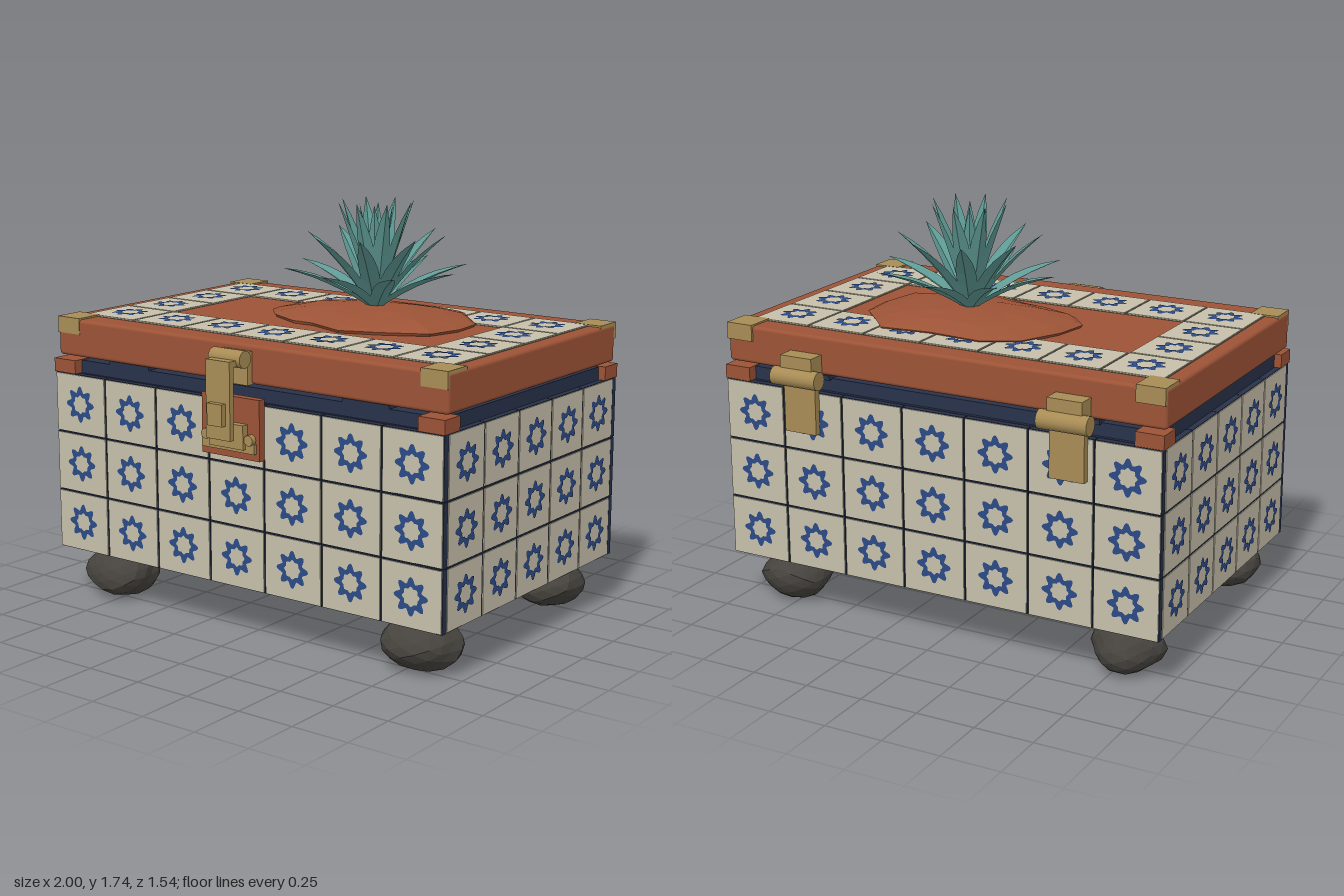
import * as THREE from 'three';
import { RoundedBoxGeometry } from 'three/addons/geometries/RoundedBoxGeometry.js';

const mat = (name, color, opts = {}) => {
  const m = new THREE.MeshStandardMaterial({ color, ...opts });
  m.name = name;
  return m;
};

export function createModel() {
  const root = new THREE.Group();
  root.name = 'tiledChest';
  const cream = mat('creamGlaze', 0xc6bfaa);
  const navy = mat('navyGrout', 0x28324a);
  const blue = mat('bluePaint', 0x2b4a86);
  const clay = mat('terracotta', 0x9c5336);
  const soil = mat('terracottaMound', 0x9c5336, { flatShading: true });
  const brass = mat('brass', 0xa88c55);
  const stone = mat('darkStone', 0x46433e, { flatShading: true });
  const leafMat = mat('agaveGreen', 0x5f9a94, { flatShading: true, side: THREE.DoubleSide });
  const grout = mat('greyGrout', 0x73705f);

  const add = (parent, name, geo, m, x = 0, y = 0, z = 0) => {
    const mesh = new THREE.Mesh(geo, m);
    mesh.name = name;
    mesh.position.set(x, y, z);
    parent.add(mesh);
    return mesh;
  };
  // Box given by its extents on each axis
  const block = (parent, name, m, x0, x1, y0, y1, z0, z1) =>
    add(parent, name, new THREE.BoxGeometry(x1 - x0, y1 - y0, z1 - z0), m,
      (x0 + x1) / 2, (y0 + y1) / 2, (z0 + z1) / 2);
  const rod = (parent, name, r, len, x, y, z) => {
    const c = add(parent, name, new THREE.CylinderGeometry(r, r, len, 16), brass, x, y, z);
    c.rotation.z = Math.PI / 2;
    return c;
  };

  // Eight-petalled ring painted on every tile
  const ring = (r, amp, n) => Array.from({ length: n }, (_, i) => {
    const a = (i / n) * Math.PI * 2, d = r + amp * Math.cos(8 * a);
    return new THREE.Vector2(d * Math.cos(a), d * Math.sin(a));
  });
  const flower = new THREE.Shape(ring(0.066, 0.013, 64));
  flower.holes.push(new THREE.Path(ring(0.037, 0.004, 32)));
  const flowerGeo = new THREE.ShapeGeometry(flower);

  // Tile facing local +z, its glazed face at z = 0
  const tile = (parent, w, h, depth, side) => {
    const g = new THREE.Group();
    g.name = 'tile';
    add(g, 'tileSlab', new THREE.BoxGeometry(w - 0.004, h - 0.004, depth), side, 0, 0, -depth / 2 - 0.004);
    add(g, 'tileFace', new THREE.BoxGeometry(w - 0.01, h - 0.01, 0.004), cream, 0, 0, -0.002);
    add(g, 'tileFlower', flowerGeo, blue, 0, 0, 0.003);
    parent.add(g);
    return g;
  };

  // Chest body
  const body = new THREE.Group();
  body.name = 'body';
  root.add(body);
  const zF = 0.61, zB = -0.655, zMid = (zF + zB) / 2;
  block(body, 'bodyCore', navy, -0.965, 0.965, 0.221, 1, zB, zF);
  const th = 0.26, tw = 1.99 / 7, sw = (zF - zB) / 5;
  for (let r = 0; r < 3; r++) {
    const y = 0.22 + th * (r + 0.5);
    for (let c = 0; c < 7; c++) {
      const x = -0.995 + tw * (c + 0.5);
      tile(body, tw, th, 0.026, navy).position.set(x, y, 0.64);
      const back = tile(body, tw, th, 0.026, navy);
      back.position.set(x, y, -0.685);
      back.rotation.y = Math.PI;
    }
    for (let c = 0; c < 5; c++) for (const s of [-1, 1]) {
      const t = tile(body, sw, th, 0.026, navy);
      t.position.set(s * 0.995, y, zB + sw * (c + 0.5));
      t.rotation.y = s * Math.PI / 2;
    }
  }
  block(body, 'basePlate', clay, -0.91, 0.91, 0.19, 0.222, -0.585, 0.54);

  // Rim under the lid with corner blocks
  block(body, 'rim', navy, -0.965, 0.965, 1, 1.055, -0.64, 0.6);
  block(body, 'rimCore', navy, -0.9, 0.9, 1.05, 1.08, -0.57, 0.53);
  for (const s of [-1, 1]) for (const z of [0.59, -0.632])
    add(body, 'rimCorner', new THREE.BoxGeometry(0.12, 0.058, 0.104), clay, s * 0.937, 1.029, z);

  // Boulder feet
  let seed = 7;
  const rand = () => ((seed = (seed * 16807) % 2147483647) / 2147483647);
  for (const x of [-0.79, 0.79]) for (const z of [0.47, -0.51]) {
    const geo = new THREE.IcosahedronGeometry(1, 2);
    const p = geo.attributes.position, a = rand() * 6, b = rand() * 6;
    for (let i = 0; i < p.count; i++) {
      const v = new THREE.Vector3().fromBufferAttribute(p, i);
      const k = 1 + 0.05 * Math.sin(4 * v.x + a) + 0.05 * Math.sin(5 * v.z + 3 * v.y + b);
      p.setXYZ(i, v.x * k * 0.16, Math.max(-0.105, Math.min(0.1, v.y * k * 0.105)), v.z * k * 0.15);
    }
    geo.computeVertexNormals();
    add(body, 'foot', geo, stone, x, 0.105, z);
  }

  // Lid with a border of tiles and brass corners
  const lid = new THREE.Group();
  lid.name = 'lid';
  root.add(lid);
  add(lid, 'lidSlab', new RoundedBoxGeometry(1.988, 0.16, 1.275, 3, 0.015), clay, 0, 1.15, -0.022);
  const lw = 1.87 / 7, lh = 1.06 / 4;
  for (let c = 0; c < 7; c++) for (let r = 0; r < 4; r++) {
    if (c > 0 && c < 6 && r > 0 && r < 3) continue;
    const t = tile(lid, lw, lh, 0.012, grout);
    t.position.set(-0.935 + lw * (c + 0.5), 1.236, -0.555 + lh * (r + 0.5));
    t.rotation.x = -Math.PI / 2;
  }
  for (const s of [-1, 1]) for (const z of [0.553, -0.604])
    add(lid, 'cornerCap', new THREE.BoxGeometry(0.122, 0.07, 0.13), brass, s * 0.931, 1.202, z);

  // Front latch
  const latch = new THREE.Group();
  latch.name = 'latch';
  root.add(latch);
  block(latch, 'latchBacking', clay, -0.15, 0.145, 0.775, 1.025, 0.635, 0.67);
  block(latch, 'latchFoot', brass, -0.14, 0.13, 0.805, 0.845, 0.66, 0.685);
  block(latch, 'latchCatch', brass, -0.09, 0.085, 0.82, 0.92, 0.66, 0.7);
  for (const x of [-0.115, 0.105]) {
    const b = rod(latch, 'latchBolt', 0.022, 0.035, x, 0.86, 0.675);
    b.rotation.set(Math.PI / 2, 0, 0);
  }
  block(latch, 'latchStrap', brass, -0.065, 0.057, 0.86, 1.18, 0.72, 0.745);
  block(latch, 'latchTongue', brass, -0.04, 0.035, 0.92, 1.01, 0.74, 0.77);
  rod(latch, 'latchBarrel', 0.036, 0.16, -0.004, 1.18, 0.67);
  block(latch, 'latchBridge', brass, -0.065, 0.057, 1.155, 1.18, 0.67, 0.745);
  block(latch, 'latchMount', brass, -0.075, 0.067, 1.07, 1.205, 0.61, 0.645);

  // Rear hinges
  for (const x of [-0.608, 0.608]) {
    const h = new THREE.Group();
    h.name = 'hinge';
    root.add(h);
    rod(h, 'hingeBarrel', 0.039, 0.215, x, 1.065, -0.731);
    block(h, 'upperHingeLeaf', brass, x - 0.075, x + 0.075, 1.08, 1.155, -0.737, -0.655);
    block(h, 'lowerHingeLeaf', brass, x - 0.075, x + 0.075, 0.825, 1.05, -0.715, -0.684);
    block(h, 'hingeShadowPlate', navy, x - 0.11, x + 0.11, 1.05, 1.07, -0.66, 0.6);
  }

  // Mound: one irregular outline shrunk in steps toward its peak
  const outline = [[-0.34, -0.035], [-0.26, 0.055], [-0.1, 0.135], [0, 0.135], [0.19, 0.21], [0.35, 0.15],
    [0.54, 0.055], [0.58, -0.1], [0.565, -0.25], [0.45, -0.37], [0.38, -0.45], [0.165, -0.425],
    [-0.075, -0.445], [-0.225, -0.37], [-0.315, -0.185]];
  const cx = 0.13, cz = -0.143, n = outline.length;
  const steps = [[0.97, 1.225], [1, 1.242], [0.93, 1.256], [0.7, 1.276], [0.4, 1.29], [0.001, 1.297]];
  const pos = [], idx = [];
  steps.forEach(([k, y]) => outline.forEach(([x, z], i) =>
    pos.push(cx + (x - cx) * k, y + (k > 0.5 && k < 1 ? 0.004 * Math.sin(i * 2.3) : 0), cz + (z - cz) * k)));
  for (let s = 0; s < steps.length - 1; s++) for (let i = 0; i < n; i++) {
    const a = s * n + i, b = s * n + (i + 1) % n;
    idx.push(a, b, b + n, a, b + n, a + n);
  }
  const moundGeo = new THREE.BufferGeometry();
  moundGeo.setAttribute('position', new THREE.Float32BufferAttribute(pos, 3));
  moundGeo.setIndex(idx);
  moundGeo.computeVertexNormals();
  add(root, 'mound', moundGeo, soil);

  // Agave leaf: folded blade along an arc, pointing along +x
  const leaf = (reach, rise, width, bow) => {
    const v = [], f = [], N = 6;
    for (let i = 0; i <= N; i++) {
      const t = i / N;
      const w = width * (i === N ? 0.01 : 0.4 + 1.5 * t - 1.9 * t * t) * 0.72;
      const x = 0.015 + (reach - 0.015) * t, y = rise * t + bow * Math.sin(Math.PI * t);
      const len = Math.hypot(reach, rise), fold = w * 0.4;
      v.push(x - fold * rise / len, y + fold * reach / len, w, x, y, 0,
        x - fold * rise / len, y + fold * reach / len, -w);
      if (i < N) for (let j = 0; j < 2; j++) {
        const a = i * 3 + j;
        f.push(a, a + 3, a + 1, a + 1, a + 3, a + 4);
      }
    }
    const g = new THREE.BufferGeometry();
    g.setAttribute('position', new THREE.Float32BufferAttribute(v, 3));
    g.setIndex(f);
    g.computeVertexNormals();
    return g;
  };
  const plant = new THREE.Group();
  plant.name = 'agave';
  plant.position.set(cx, 1.28, cz);
  root.add(plant);
  const tiers = [[8, 0, 0.395, 0.18, 0.085, 0.02], [8, Math.PI / 8, 0.3, 0.32, 0.085, 0.02],
    [8, 0.1, 0.165, 0.455, 0.08, 0.01], [4, 0.5, 0.07, 0.44, 0.07, 0]];
  for (const [count, turn, reach, rise, width, bow] of tiers) {
    const geo = leaf(reach, rise, width, bow);
    for (let i = 0; i < count; i++)
      add(plant, 'leaf', geo, leafMat).rotation.y = turn + (i / count) * Math.PI * 2;
  }
  return root;
}
